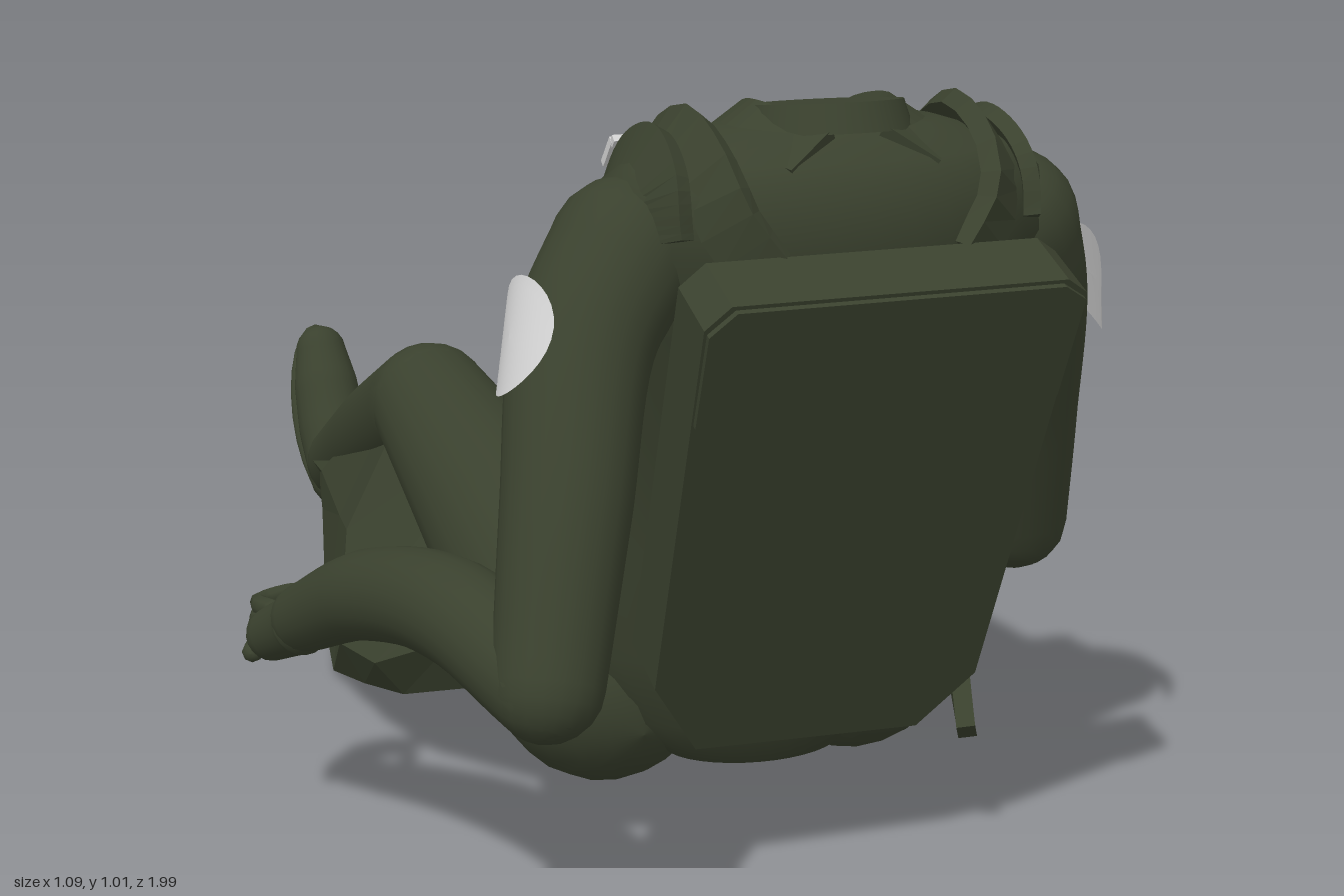
import * as THREE from 'three';

const V = (x, y, z) => new THREE.Vector3(x, y, z);
const CX = 0.09; // body midline
const flip = (x) => 2 * CX - x;

// Torso slices: height, centre z, half width, half depth
const SLICES = [
  [0.14, 0.52, 0.12, 0.08], [0.2, 0.5, 0.2, 0.13], [0.3, 0.49, 0.25, 0.18], [0.45, 0.5, 0.26, 0.195],
  [0.6, 0.565, 0.255, 0.19], [0.75, 0.64, 0.27, 0.185], [0.85, 0.685, 0.29, 0.175],
  [0.92, 0.7, 0.275, 0.15], [0.955, 0.705, 0.235, 0.12], [0.985, 0.71, 0.14, 0.08]];

function sliceAt(y) {
  let i = 0;
  while (i < SLICES.length - 2 && SLICES[i + 1][0] < y) i++;
  const a = SLICES[i], b = SLICES[i + 1];
  const t = THREE.MathUtils.clamp((y - a[0]) / (b[0] - a[0]), 0, 1);
  return a.map((v, k) => v + (b[k] - v) * t);
}

// Point on the torso: side -1 is the chest, +1 the back
function onTorso(x, y, side) {
  const [, zc, rx, rz] = sliceAt(y);
  const q = Math.max(0, 1 - ((x - CX) / rx) ** 2);
  return V(x, y, zc + side * rz * Math.sqrt(q));
}

// Joins rings of equal point count into a surface
function loft(rings) {
  const n = rings[0].length, pos = [], idx = [];
  rings.forEach((r) => r.forEach((p) => pos.push(p.x, p.y, p.z)));
  for (let i = 0; i < rings.length - 1; i++) {
    for (let j = 0; j < n; j++) {
      const a = i * n + j, b = i * n + (j + 1) % n;
      idx.push(a, b, a + n, b, b + n, a + n);
    }
  }
  const g = new THREE.BufferGeometry();
  g.setAttribute('position', new THREE.Float32BufferAttribute(pos, 3));
  g.setIndex(idx);
  g.computeVertexNormals();
  return g;
}

// Round-ended limb through [x, y, z, radius] points
function limb(pts, sides = 20, steps = 20) {
  const curve = new THREE.CatmullRomCurve3(pts.map((p) => V(p[0], p[1], p[2])));
  const f = curve.computeFrenetFrames(steps);
  const rings = [];
  const ring = (i, shift, scale) => {
    const u = curve.getUtoTmapping(i / steps) * (pts.length - 1);
    const k = Math.min(Math.floor(u), pts.length - 2);
    const r = THREE.MathUtils.lerp(pts[k][3], pts[k + 1][3], u - k);
    const c = curve.getPointAt(i / steps).addScaledVector(f.tangents[i], shift * r);
    rings.push(Array.from({ length: sides }, (_, j) => {
      const a = (j / sides) * Math.PI * 2;
      return c.clone().addScaledVector(f.normals[i], Math.cos(a) * r * scale)
        .addScaledVector(f.binormals[i], Math.sin(a) * r * scale);
    }));
  };
  for (let k = 5; k > 0; k--) ring(0, -Math.sin(k * Math.PI / 10), Math.cos(k * Math.PI / 10));
  for (let i = 0; i <= steps; i++) ring(i, 0, 1);
  for (let k = 1; k <= 5; k++) ring(steps, Math.sin(k * Math.PI / 10), Math.cos(k * Math.PI / 10));
  return loft(rings);
}

// Flat webbing that lies against the torso
function strap(points, width, thick = 0.012, steps = 28) {
  const curve = new THREE.CatmullRomCurve3(points);
  const rings = [];
  for (let i = 0; i <= steps; i++) {
    const p = curve.getPointAt(i / steps), t = curve.getTangentAt(i / steps);
    const n = p.clone().sub(V(CX, Math.min(p.y, 0.82), sliceAt(p.y)[1]));
    n.addScaledVector(t, -n.dot(t)).normalize();
    const w = new THREE.Vector3().crossVectors(t, n).multiplyScalar(width / 2);
    const corner = (s, h) => p.clone().addScaledVector(w, s).addScaledVector(n, h * thick);
    const r = [corner(-1, 1), corner(-1, -1), corner(1, -1), corner(1, 1)];
    if (i === 0) rings.push(r.map(() => p.clone()));
    rings.push(r);
    if (i === steps) rings.push(r.map(() => p.clone()));
  }
  const g = loft(rings).toNonIndexed();
  g.computeVertexNormals();
  return g;
}

export function createModel() {
  const model = new THREE.Group();
  const mat = (name, color) => {
    const m = new THREE.MeshStandardMaterial({ color, side: THREE.DoubleSide });
    m.name = name;
    return m;
  };
  const olive = mat('olive cloth', 0x3a412e);
  const grey = mat('pale grey', 0xd2d2d2);
  const add = (name, geo, m = olive) => {
    const mesh = new THREE.Mesh(geo, m);
    mesh.name = name;
    model.add(mesh);
    return mesh;
  };

  // Torso, neck and shoulders
  const torsoRing = ([y, zc, rx, rz]) => Array.from({ length: 36 }, (_, j) => {
    const a = (j / 36) * Math.PI * 2;
    return V(CX + rx * Math.cos(a), y, zc - rz * Math.sin(a));
  });
  add('torso', loft([[0.13, 0.52, 0, 0], ...SLICES, [0.992, 0.71, 0, 0]].map(torsoRing)));
  const neck = add('neck', new THREE.CylinderGeometry(0.09, 0.1, 0.035, 28));
  neck.position.set(CX, 0.99, 0.71);
  neck.rotation.x = -0.14;

  // Legs and boots, mirrored about the midline
  for (const s of [1, -1]) {
    const X = (x) => CX + s * x;
    add('thigh', limb([[X(0.175), 0.225, 0.43, 0.145], [X(0.19), 0.31, 0.14, 0.125], [X(0.21), 0.415, -0.235, 0.09]]));
    add('shin', limb([[X(0.21), 0.415, -0.235, 0.09], [X(0.205), 0.29, -0.52, 0.082], [X(0.2), 0.168, -0.78, 0.068]]));
    add('boot', limb([[X(0.2), 0.13, -0.82, 0.054], [X(0.2), 0.2, -0.875, 0.058],
      [X(0.2), 0.27, -0.92, 0.054], [X(0.2), 0.32, -0.95, 0.043]]));
    const sole = add('sole', new THREE.SphereGeometry(1, 24, 12));
    sole.scale.set(0.06, 0.16, 0.018);
    sole.position.set(X(0.2), 0.212, -0.922);
    sole.rotation.x = -0.42;
  }

  // Arms
  add('leftUpperArm', limb([[0.34, 0.845, 0.685, 0.09], [0.385, 0.75, 0.65, 0.082], [0.435, 0.57, 0.57, 0.073], [0.475, 0.395, 0.495, 0.068]]));
  add('leftForearm', limb([[0.475, 0.39, 0.49, 0.066], [0.495, 0.41, 0.3, 0.056], [0.485, 0.42, 0.08, 0.042]]));
  add('rightUpperArm', limb([[-0.16, 0.845, 0.71, 0.09], [-0.225, 0.76, 0.755, 0.084], [-0.28, 0.59, 0.85, 0.075], [-0.328, 0.415, 0.93, 0.064]]));
  add('rightForearm', limb([[-0.33, 0.412, 0.93, 0.062], [-0.38, 0.445, 0.74, 0.062], [-0.43, 0.41, 0.56, 0.056], [-0.475, 0.335, 0.41, 0.044]]));

  // Left hand curled into a loose ring
  add('leftPalm', limb([[0.485, 0.42, 0.07, 0.044], [0.5, 0.42, 0.0, 0.036]]));
  for (let i = 0; i < 4; i++) {
    const y = 0.385 + i * 0.022;
    add('leftFinger', limb([[0.515, y, 0.01, 0.014], [0.528, y, -0.05, 0.013], [0.495, y, -0.095, 0.012], [0.455, y, -0.08, 0.011]], 8, 10));
  }
  add('leftThumb', limb([[0.465, 0.44, 0.04, 0.017], [0.45, 0.465, -0.01, 0.014], [0.455, 0.48, -0.06, 0.011]], 8, 8));

  // Right hand hanging open
  add('rightPalm', limb([[-0.478, 0.325, 0.4, 0.042], [-0.5, 0.29, 0.335, 0.035]]));
  for (let i = 0; i < 4; i++) {
    const d = i * 0.018;
    add('rightFinger', limb([[-0.525 + d * 0.5, 0.265 + d, 0.325, 0.014], [-0.505, 0.26 + d, 0.28, 0.013],
      [-0.46, 0.265 + d, 0.265, 0.012], [-0.42 + d * 0.4, 0.265 + d, 0.275, 0.01]], 8, 10));
  }
  add('rightThumb', limb([[-0.475, 0.3, 0.37, 0.017], [-0.44, 0.29, 0.335, 0.014], [-0.415, 0.285, 0.3, 0.011]], 8, 8));

  // Tilted back pack with cut lower corners and a lid
  const pack = new THREE.Group();
  pack.name = 'backPack';
  pack.position.set(0, 0.19, 0.68);
  pack.rotation.x = 0.385;
  model.add(pack);
  const panel = (name, pts, depth, z) => {
    const shape = new THREE.Shape(pts.map((p) => new THREE.Vector2(p[0], p[1])));
    const mesh = new THREE.Mesh(new THREE.ExtrudeGeometry(shape, { depth, bevelEnabled: false }), olive);
    mesh.name = name;
    mesh.position.z = z;
    pack.add(mesh);
  };
  panel('packBody', [[-0.055, 0.02], [0.245, 0.01], [0.31, 0.09], [0.318, 0.67], [0.29, 0.69], [-0.12, 0.69], [-0.148, 0.66], [-0.125, 0.13]], 0.085, -0.085);
  panel('packLid', [[-0.14, 0.53], [0.09, 0.5], [0.312, 0.53], [0.315, 0.665], [0.285, 0.685], [-0.115, 0.685], [-0.144, 0.655]], 0.007, 0);

  // Harness over both shoulders down to the waist buckle
  for (const s of [1, -1]) {
    const X = (x) => CX + s * x;
    add('shoulderHarness', strap([onTorso(X(0.02), 0.47, -1), onTorso(X(0.07), 0.6, -1), onTorso(X(0.125), 0.75, -1),
      onTorso(X(0.18), 0.88, -1), onTorso(X(0.19), 0.945, -1), V(X(0.185), 0.978, 0.705),
      onTorso(X(0.18), 0.94, 1), onTorso(X(0.165), 0.89, 1), onTorso(X(0.13), 0.84, 1)], 0.07));
    add('collarFlap', strap([onTorso(X(0.08), 0.68, -1), onTorso(X(0.1), 0.8, -1), onTorso(X(0.09), 0.92, -1),
      onTorso(X(0.1), 0.965, -1), V(X(0.11), 0.985, 0.71), onTorso(X(0.06), 0.965, 1)], 0.075, 0.008));
    add('shoulderPad', strap([onTorso(X(0.235), 0.87, -1), onTorso(X(0.23), 0.935, -1),
      V(X(0.225), 0.958, 0.705), onTorso(X(0.23), 0.93, 1), onTorso(X(0.23), 0.87, 1)], 0.07, 0.01));
    // Strap adjuster: small open metal frame
    for (let i = 0; i < 3; i++) {
      const bar = add('strapAdjuster', new THREE.BoxGeometry(0.075, 0.012, 0.01), grey);
      bar.position.copy(onTorso(X(0.19), 0.915 + i * 0.014, -1)).add(V(0, 0.012, -0.016));
      bar.rotation.x = 0.7;
    }
    for (const e of [-1, 1]) {
      const post = add('strapAdjuster', new THREE.BoxGeometry(0.008, 0.04, 0.01), grey);
      post.position.copy(onTorso(X(0.19), 0.929, -1)).add(V(e * 0.034, 0.012, -0.016));
      post.rotation.x = 0.7;
    }
  }

  // Waist buckle and lap belts
  const buckle = add('waistBuckle', new THREE.CylinderGeometry(0.05, 0.055, 0.035, 24));
  buckle.position.set(CX, 0.465, 0.29);
  buckle.rotation.x = -Math.PI / 2 + 0.45;
  add('leftLapBelt', strap([onTorso(CX, 0.465, -1), onTorso(0.22, 0.46, -1), onTorso(0.335, 0.41, -1),
    V(0.36, 0.36, 0.52), V(0.345, 0.26, 0.59), V(0.33, 0.17, 0.66)], 0.05));
  add('rightLapBelt', strap([onTorso(CX, 0.465, -1), onTorso(flip(0.22), 0.46, -1), onTorso(flip(0.335), 0.43, -1),
    V(-0.195, 0.42, 0.48), V(-0.22, 0.36, 0.5), V(-0.235, 0.31, 0.51)], 0.055));
  add('beltTail', strap([V(-0.165, 0.44, 0.53), V(-0.195, 0.49, 0.52), V(-0.22, 0.535, 0.51)], 0.05));

  // Folded cloth hanging from the right leg: top, inner, bottom, outer corner of each section
  const drape = [
    [0.44, -0.16, 0.34, -0.12, 0.24, -0.18, 0.24, -0.22, 0.3],
    [0.38, -0.14, 0.38, -0.1, 0.2, -0.23, 0.2, -0.27, 0.27],
    [0.2, -0.1, 0.41, -0.1, 0.2, -0.29, 0.13, -0.33, 0.18],
    [0.03, -0.08, 0.46, -0.1, 0.22, -0.3, 0.085, -0.335, 0.15],
    [-0.23, -0.12, 0.5, -0.08, 0.28, -0.28, 0.008, -0.255, 0.23],
    [-0.33, -0.12, 0.46, -0.08, 0.25, -0.265, 0.035, -0.24, 0.22],
    [-0.6, -0.12, 0.31, -0.1, 0.2, -0.2, 0.145, -0.2, 0.21],
    [-0.78, -0.13, 0.21, -0.12, 0.17, -0.16, 0.15, -0.175, 0.18]];
  const cloth = loft(drape.map((d) => [0, 1, 2, 3].map((k) => V(d[1 + 2 * k], d[2 + 2 * k], d[0])))).toNonIndexed();
  cloth.computeVertexNormals();
  add('legDrape', cloth);

  // Round badges bent to the sleeve and chest
  const badge = (name, pos, normal, up, r, bend) => {
    const geo = new THREE.RingGeometry(0.0001, r, 32, 6);
    const p = geo.attributes.position;
    for (let i = 0; i < p.count; i++) p.setZ(i, -(p.getX(i) ** 2) / (2 * bend));
    geo.computeVertexNormals();
    const mesh = add(name, geo, grey);
    mesh.position.copy(pos);
    mesh.up.copy(up);
    mesh.lookAt(pos.clone().add(normal));
  };
  badge('leftSleeveBadge', V(0.472, 0.765, 0.67), V(0.96, 0.27, 0.06), V(0.25, -0.9, -0.38), 0.07, 0.1);
  badge('rightSleeveBadge', V(-0.315, 0.77, 0.755), V(-0.96, 0.28, 0), V(-0.25, -0.85, 0.4), 0.07, 0.1);
  badge('chestBadge', onTorso(0.3, 0.81, -1).add(V(0.012, 0.006, -0.012)), V(0.62, 0.3, -0.72), V(0, 1, 0.4), 0.06, 0.16);

  return model;
}
